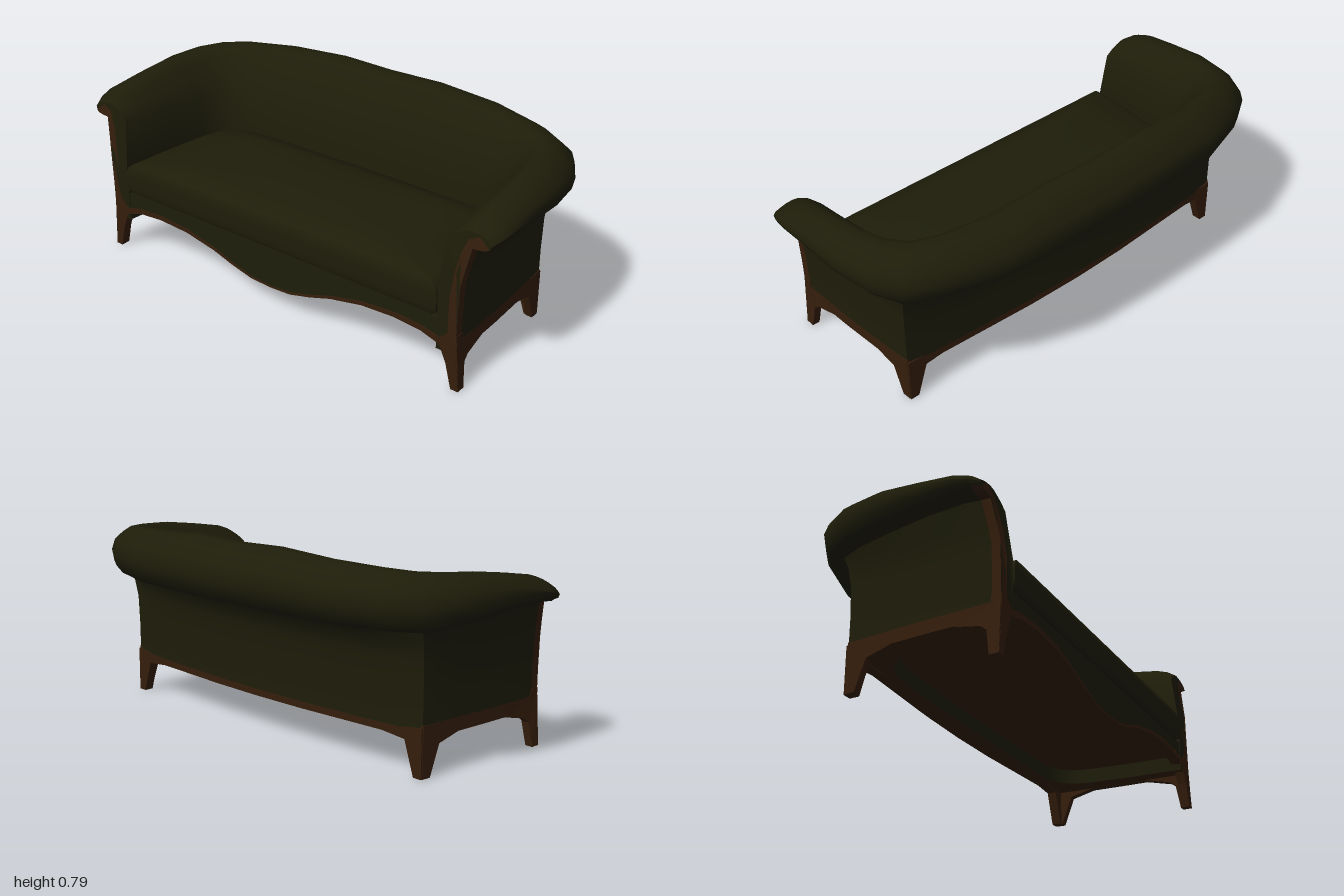
import * as THREE from 'three';
import { toCreasedNormals } from 'three/addons/utils/BufferGeometryUtils.js';

const upholstery = new THREE.MeshStandardMaterial({ color: 0x1e1d0a, side: THREE.DoubleSide });
upholstery.name = 'olive upholstery';
const wood = new THREE.MeshStandardMaterial({ color: 0x351e0c, side: THREE.DoubleSide });
wood.name = 'dark wood';

// Stations of the curved wall, from the left arm front to the middle of the back:
// base x, z | inner x, z | roll x, z | roll top, roll bottom, rail top
const half = [
  [.87, .44, .785, .44, .975, .41, .645, .588, .2],
  [.87, .405, .782, .405, .99, .39, .672, .586, .2],
  [.868, .32, .775, .33, 1, .32, .69, .592, .2],
  [.864, .17, .766, .18, 1, .17, .715, .587, .2],
  [.855, 0, .748, .02, .998, 0, .738, .57, .2],
  [.846, -.12, .728, -.05, .968, -.165, .746, .558, .2],
  [.84, -.187, .685, -.1, .9, -.285, .753, .55, .19],
  [.75, -.196, .61, -.127, .78, -.36, .761, .545, .178],
  [.56, -.207, .46, -.135, .54, -.44, .772, .542, .175],
  [.25, -.225, .23, -.138, .25, -.455, .787, .54, .175],
];
const flip = s => s.map((v, i) => (i < 6 && i % 2 === 0 ? -v : v));
const stations = [...half, [0, -.23, 0, -.14, 0, -.457, .78, .54, .175],
  ...half.map(flip).reverse()];

// Rolled top: share from inner face to roll edge, relative height
const over = [[.06, .04], [.19, .47], [.35, .8], [.44, .94], [.54, 1], [.69, .97],
  [.82, .85], [.95, .68], [1, .46]];
// Underside of the roll: share from base to roll edge, relative height
const under = [[.93, .22], [.76, .06], [.53, 0], [.31, -.02]];
// Neck below the roll: share from base to roll edge, height
const neck = [[.15, .5], [.04, .43], [0, .3]];

const lean = y => .442 - Math.max(0, y - .42) * .14;

function section(s, j) {
  const [bx, bz, ix, iz, ox, oz, top, bot, rail] = s;
  const height = h => bot + h * (top - bot);
  const fromInner = (c, y) => [ix + c * (ox - ix), y, iz + c * (oz - iz)];
  const fromBase = (b, y) => [bx + b * (ox - bx), y, bz + b * (oz - bz)];
  const ring = [fromInner(0, .147), fromInner(0, .4),
    ...over.map(([c, h]) => fromInner(c, height(h))),
    ...under.map(([b, h]) => fromBase(b, height(h))),
    ...neck.map(([b, y]) => fromBase(b, y)),
    fromBase(0, rail), fromBase(0, .147)];
  // The two sections at each arm front follow its leaning face
  const end = Math.min(j, stations.length - 1 - j);
  return end < 2 ? ring.map(([x, y]) => [x, y, lean(y) - end * .034]) : ring;
}

// Skin through a list of closed rings; isWood(ring, side) picks the second material
function loft(rings, isWood, crease) {
  const n = rings[0].length, parts = [[], []];
  for (let s = 0; s < rings.length - 1; s++) {
    for (let i = 0; i < n; i++) {
      const a = s * n + i, b = s * n + (i + 1) % n;
      parts[isWood(s, i) ? 1 : 0].push(a, b, b + n, a, b + n, a + n);
    }
  }
  const geo = new THREE.BufferGeometry();
  geo.setAttribute('position', new THREE.Float32BufferAttribute(rings.flat(2), 3));
  geo.setIndex([...parts[0], ...parts[1]]);
  geo.addGroup(0, parts[0].length, 0);
  geo.addGroup(parts[0].length, parts[1].length, 1);
  return toCreasedNormals(geo, crease);
}

function shapeOf(points) {
  return new THREE.Shape(points.map(p => new THREE.Vector2(p[0], p[1])));
}

function slab(points, z0, z1) {
  const geo = new THREE.ExtrudeGeometry(shapeOf(points), { depth: z1 - z0, bevelEnabled: false });
  return geo.translate(0, 0, z0);
}

// Flat face laid on the leaning arm front
function leaningFace(points, lift) {
  const geo = new THREE.ShapeGeometry(shapeOf(points));
  const p = geo.attributes.position;
  for (let i = 0; i < p.count; i++) p.setZ(i, lean(p.getY(i)) + lift);
  geo.computeVertexNormals();
  return geo;
}

export function createModel() {
  const model = new THREE.Group();
  model.name = 'sofa';
  const add = (name, geo, mat) => {
    const mesh = new THREE.Mesh(geo, mat);
    mesh.name = name;
    model.add(mesh);
  };
  const mirrorX = pts => [...pts, ...pts.filter(p => p[0] !== 0).map(([x, ...r]) => [-x, ...r]).reverse()];

  // Arms and back with rolled top, wooden outer front edges and bottom rail
  const rings = stations.map(section);
  const n = rings[0].length, last = rings.length - 2;
  add('armsAndBack', loft(rings, (s, i) => i >= n - 2 || (i >= 11 && (s === 0 || s === last)), .85),
    [upholstery, wood]);

  // Upholstered arm fronts with a curling wooden strip along the outer edge
  const stripInside = [[.832, .2], [.835, .38], [.845, .48], [.862, .56], [.885, .615], [.925, .635]];
  for (const [side, ring] of [[1, rings[0]], [-1, rings[rings.length - 1]]]) {
    add('armFront', leaningFace(ring, 0), upholstery);
    const strip = [...ring.slice(11, 19), ...stripInside.map(([x, y]) => [x * side, y])];
    add('armFrontStrip', leaningFace(strip, .003), wood);
  }

  // Seat plan
  const plan = [[.3, .45], [.6, .45], [.785, .45], [.775, .25], [.755, .05], [.735, -.04],
    [.69, -.1], [.61, -.13], [.3, -.14], [0, -.143]];
  const outline = [...mirrorX(plan), [0, .45]];
  const ringAt = (s, y) => outline.map(([x, z]) => [x * s, y, .16 + (z - .16) * s]);

  // Loose seat cushion with a soft crown
  const cushion = [[0, .283], [.975, .283], [.995, .295], [1, .32], [1, .37], [.985, .398],
    [.95, .418], [.7, .44], [.35, .452], [0, .455]].map(([s, y]) => ringAt(s, y));
  add('seatCushion', loft(cushion, () => false, 1), [upholstery, wood]);

  // Seat base with wooden underside
  const base = [[0, .2], [.96, .2], [.96, .278], [0, .278]].map(([s, y]) => ringAt(s, y));
  add('seatBase', loft(base, s => s === 0, .5), [upholstery, wood]);

  // Scalloped front apron and its wooden trim
  const edge = mirrorX([[.8, .17], [.72, .194], [.6, .204], [.45, .196], [.3, .166], [.2, .134],
    [.1, .109], [0, .104]]);
  const trimTop = edge.map(([x, y]) => [x, y + .006 + .022 * Math.abs(x)]);
  add('apron', slab([...trimTop, [-.83, .21], [-.83, .272], [.83, .272], [.83, .21]], .405, .439), upholstery);
  add('apronTrim', slab([...edge, ...trimTop.reverse()], .4, .443), wood);

  // Side rails with legs, front leg faces and rear corner brackets
  const sideRail = [[.443, 0], [.405, 0], [.39, .1], [.365, .12], [.25, .147], [.13, .16], [0, .147],
    [-.105, .12], [-.15, 0], [-.19, 0], [-.188, .2], [-.05, .195], [.13, .2], [.24, .188],
    [.32, .2], [.443, .2]];
  const frontLeg = [[.887, 0], [.855, 0], [.83, .1], [.8, .17], [.72, .194], [.72, .216],
    [.8, .198], [.832, .23], [.872, .23], [.873, .12]];
  const rearBracket = [[.842, 0], [.805, 0], [.76, .135], [.6, .148], [.6, .172], [.842, .19]];
  for (const side of [1, -1]) {
    const geo = slab(sideRail, -.03, 0);
    const p = geo.attributes.position;
    for (let i = 0; i < p.count; i++) {
      const z = p.getX(i), y = p.getY(i), depth = p.getZ(i);
      const flare = z > .3 ? .014 * Math.max(0, 1 - y / .15) : 0;
      p.setXYZ(i, side * (.853 + .046 * z + flare + depth), y, z);
    }
    // Reverse the corners where the turn left the faces inside out
    if (side === 1) {
      for (let i = 0; i < p.count; i += 3) {
        const b = [p.getX(i + 1), p.getY(i + 1), p.getZ(i + 1)];
        p.setXYZ(i + 1, p.getX(i + 2), p.getY(i + 2), p.getZ(i + 2));
        p.setXYZ(i + 2, ...b);
      }
    }
    geo.computeVertexNormals();
    add('sideRailAndLegs', geo, wood);
    const at = pts => pts.map(([x, y]) => [x * side, y]);
    add('frontLeg', slab(at(frontLeg), .405, .444), wood);
    add('rearBracket', slab(at(rearBracket), -.195, -.155), wood);
  }
  return model;
}
